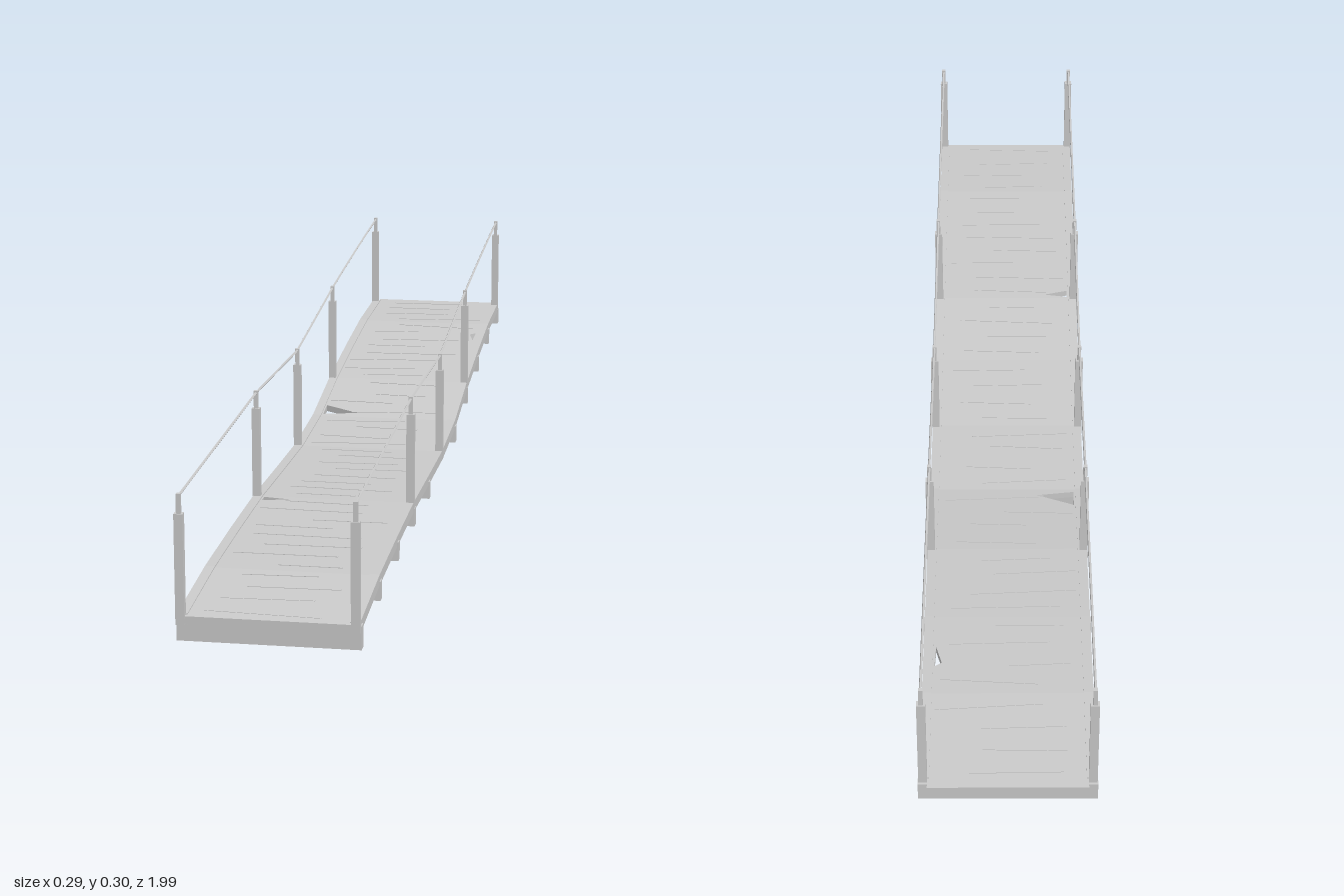
import * as THREE from 'three';

const material = new THREE.MeshStandardMaterial({ color: 0xcccccc, flatShading: true });

// Height of the walking surface at evenly spaced stations, front to back
const STEP = 0.197;
const HEIGHTS = [0.043, 0.054, 0.056, 0.055, 0.046, 0.038, 0.045, 0.073, 0.091, 0.105, 0.107];
const stationZ = (i) => (5 - i) * STEP;

function deckY(z) {
  const t = THREE.MathUtils.clamp(5 - z / STEP, 0, 10);
  const i = Math.min(9, Math.floor(t));
  return THREE.MathUtils.lerp(HEIGHTS[i], HEIGHTS[i + 1], t - i);
}

// Small seeded generator for worn details
let seed = 7;
function random() {
  seed = (seed * 16807) % 2147483647;
  return seed / 2147483647;
}

function add(parent, name, geometry, x = 0, y = 0, z = 0) {
  const mesh = new THREE.Mesh(geometry, material);
  mesh.name = name;
  mesh.position.set(x, y, z);
  parent.add(mesh);
  return mesh;
}

// Broken corners: panel index and triangle in plan (x, z)
const HOLES = {
  2: [[-0.122, 0.397], [-0.077, 0.405], [-0.122, 0.418]],
  6: [[-0.122, -0.25], [-0.055, -0.217], [-0.122, -0.206]],
  8: [[0.11, -0.71], [0.122, -0.72], [0.12, -0.67]],
};

// One deck panel, sheared so that it follows the slope
function panelGeometry(i) {
  const z0 = i === 0 ? 0.992 : stationZ(i);
  const z1 = i === 9 ? -1 : stationZ(i + 1);
  const w = 0.128;
  const shape = new THREE.Shape([[-w, z1], [w, z1], [w, z0], [-w, z0]].map((p) => new THREE.Vector2(...p)));
  if (HOLES[i]) shape.holes.push(new THREE.Path(HOLES[i].map((p) => new THREE.Vector2(...p)).concat(new THREE.Vector2(...HOLES[i][0]))));
  const geometry = new THREE.ExtrudeGeometry(shape, { depth: 0.012, bevelEnabled: false });
  geometry.rotateX(Math.PI / 2);
  const pos = geometry.attributes.position;
  for (let k = 0; k < pos.count; k++) pos.setY(k, pos.getY(k) + deckY(pos.getZ(k)));
  geometry.computeVertexNormals();
  return geometry;
}

// Long edge beam following the deck profile
function sideRailGeometry() {
  const top = [];
  const bottom = [];
  for (let i = 0; i <= 10; i++) {
    const z = i === 10 ? -0.98 : stationZ(i);
    top.push(new THREE.Vector2(z, HEIGHTS[i] + 0.002));
    bottom.unshift(new THREE.Vector2(z, HEIGHTS[i] - 0.016));
  }
  const geometry = new THREE.ExtrudeGeometry(new THREE.Shape([...top, ...bottom]), { depth: 0.016, bevelEnabled: false });
  geometry.translate(0, 0, -0.008);
  return geometry.rotateY(-Math.PI / 2);
}

export function createModel() {
  const model = new THREE.Group();
  model.name = 'footbridge';

  // Deck panels with narrow worn strips between the boards
  const deck = new THREE.Group();
  deck.name = 'deck';
  model.add(deck);
  for (let i = 0; i < 10; i++) {
    add(deck, 'deckPanel', panelGeometry(i));
    const slope = Math.atan2(HEIGHTS[i + 1] - HEIGHTS[i], STEP);
    for (let k = 0; k < 4; k++) {
      const z = stationZ(i) - STEP * (k + 0.5 + (random() - 0.5) * 0.3) / 4;
      const length = 0.1 + random() * 0.09;
      const x = (random() - 0.5) * (0.24 - length);
      const strip = add(deck, 'boardStrip', new THREE.BoxGeometry(length, 0.002, 0.004), x, deckY(z), z);
      strip.rotation.set(slope, (random() - 0.5) * 0.16, 0);
    }
  }

  // Cross beams under the deck, none at the middle
  for (let i = 0; i <= 10; i++) {
    if (i === 5) continue;
    const z = i === 0 ? 0.976 : i === 10 ? -0.977 : stationZ(i) + 0.003 * Math.sign(i - 5);
    const height = i === 0 ? 0.038 : 0.032;
    add(model, 'crossBeam', new THREE.BoxGeometry(0.286, height, 0.016), 0, deckY(z) - 0.01 - (i === 0 ? 0.0325 : 0.03) + height / 2 - 0.0005, z);
  }

  // Edge beams, posts and hand ropes on both sides
  const posts = [[0.988, 0.235], [0.394, 0.244], [0, 0.226], [-0.394, 0.263], [-0.975, 0.297]];
  for (const side of [-1, 1]) {
    const name = side > 0 ? 'left' : 'right';
    add(model, name + 'SideRail', sideRailGeometry(), side * 0.133);

    for (const [z, top] of posts) {
      const post = new THREE.Group();
      post.name = name + 'Post';
      post.position.set(side * 0.135, 0, z);
      model.add(post);
      const base = deckY(z) - 0.014;
      const shoulder = top - 0.03;
      add(post, 'shaft', new THREE.BoxGeometry(0.014, shoulder - base, 0.012), 0, (shoulder + base) / 2, 0);
      add(post, 'peg', new THREE.BoxGeometry(0.007, 0.032, 0.007), 0, top - 0.015, 0);
    }

    const path = new THREE.CurvePath();
    for (let i = 0; i < posts.length - 1; i++) {
      const [a, b] = [posts[i], posts[i + 1]].map(([z, y]) => new THREE.Vector3(side * 0.135, y - 0.003, z));
      const middle = a.clone().lerp(b, 0.5);
      middle.y += i === 3 ? 0.004 : 0;
      path.add(new THREE.QuadraticBezierCurve3(a, middle, b));
    }
    add(model, name + 'HandRope', new THREE.TubeGeometry(path, 40, 0.0022, 6));
  }
  return model;
}
